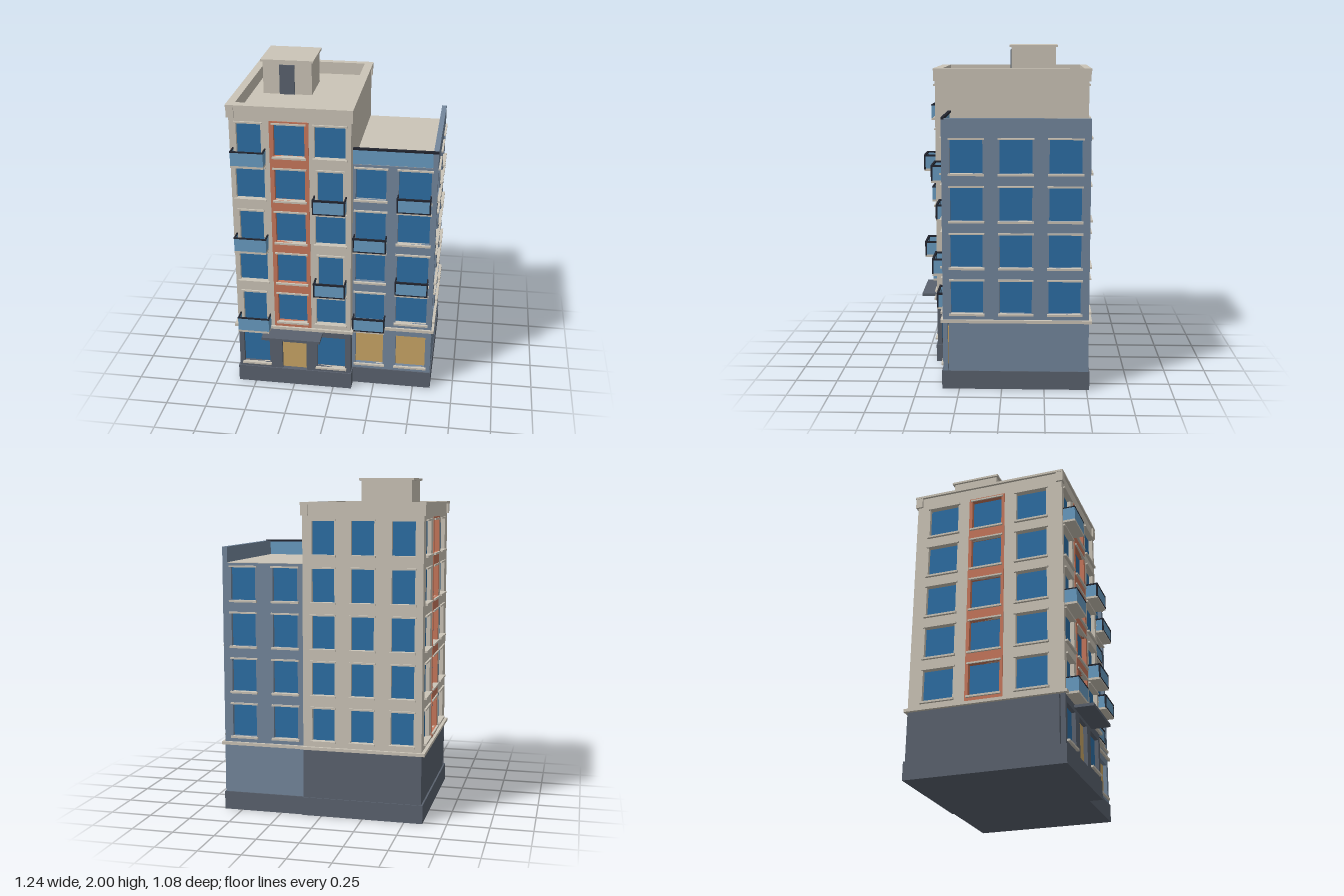
import * as THREE from 'three';

const mat = (name, color) => {
  const m = new THREE.MeshStandardMaterial({ color });
  m.name = name;
  return m;
};

export function createModel() {
  const stone = mat('beige stone', 0xcbc4b7);
  const blue = mat('blue render', 0x73869c);
  const slate = mat('slate base', 0x5a626e);
  const glass = mat('window glass', 0x2d6ea4);
  const paleGlass = mat('pale balcony glass', 0x689bc1);
  const yellow = mat('lit yellow glass', 0xc9a565);
  const orange = mat('orange panel', 0xc7775b);
  const dark = mat('dark rail', 0x22252f);

  const model = new THREE.Group();
  model.name = 'apartmentBuilding';

  // Box given by its extents
  function box(parent, name, m, x0, x1, y0, y1, z0, z1) {
    const mesh = new THREE.Mesh(new THREE.BoxGeometry(x1 - x0, y1 - y0, z1 - z0), m);
    mesh.position.set((x0 + x1) / 2, (y0 + y1) / 2, (z0 + z1) / 2);
    mesh.name = name;
    parent.add(mesh);
    return mesh;
  }

  const rectPoints = (x0, x1, y0, y1) =>
    [[x0, y0], [x1, y0], [x1, y1], [x0, y1]].map(([x, y]) => new THREE.Vector2(x, y));

  // Flat plate with rectangular holes, front at z, thickness t behind it
  function pierced(parent, name, m, [x0, x1, y0, y1], holes, z, t) {
    const shape = new THREE.Shape(rectPoints(x0, x1, y0, y1));
    for (const h of holes) shape.holes.push(new THREE.Path(rectPoints(...h).reverse()));
    const mesh = new THREE.Mesh(new THREE.ExtrudeGeometry(shape, { depth: t, bevelEnabled: false }), m);
    mesh.position.z = z - t;
    mesh.name = name;
    parent.add(mesh);
    return mesh;
  }

  // Horizontal rectangular ring
  function ring(name, m, x0, x1, z0, z1, hole, y0, y1) {
    const mesh = pierced(model, name, m, [x0, x1, -z1, -z0], [[hole[0], hole[1], -hole[3], -hole[2]]], 0, y1 - y0);
    mesh.rotation.x = -Math.PI / 2;
    mesh.position.set(0, y0, 0);
  }

  // Group whose +z looks along the given heading
  function face(name, angle) {
    const g = new THREE.Group();
    g.name = name;
    g.rotation.y = angle;
    model.add(g);
    return g;
  }

  // Recessed pane with a sill and a lintel
  const DEPTH = 0.028;
  function openingParts(g, d, [x0, x1, y0, y1], pane = glass, trim = true) {
    box(g, 'windowPane', pane, x0 - 0.004, x1 + 0.004, y0 - 0.004, y1 + 0.004, d - DEPTH - 0.006, d - DEPTH + 0.004);
    if (!trim) return;
    box(g, 'sill', stone, x0 - 0.01, x1 + 0.01, y0 - 0.012, y0, d - 0.02, d + 0.016);
    box(g, 'lintel', stone, x0 - 0.01, x1 + 0.01, y1, y1 + 0.01, d - 0.02, d + 0.012);
  }

  const floorY = (f) => 0.46 + 0.275 * f;
  const win = (c, w, f, drop = 0) => [c - w / 2, c + w / 2, floorY(f) - drop, floorY(f) + 0.195];

  // Upper wall: columns of windows, optionally with a coloured strip round one column
  function facade(g, name, m, d, bounds, columns, floors, strip) {
    const holes = [];
    for (const col of columns) {
      const own = [];
      for (let f = 0; f < floors; f++) {
        const door = col.doors && col.doors.includes(f);
        const h = win(col.c, door ? col.w - 0.03 : col.w, f, door ? 0.035 : 0);
        own.push(h);
        openingParts(g, d, h);
      }
      if (col.strip) {
        const b = [col.c - 0.115, col.c + 0.115, 0.425, 1.775];
        holes.push(b);
        pierced(g, 'accentPanel', orange, b, own, d + 0.004, DEPTH + 0.004);
      } else holes.push(...own);
    }
    pierced(g, name, m, bounds, holes, d, DEPTH);
  }

  const front = face('frontSide', 0);
  const right = face('wingSide', Math.PI / 2);
  const back = face('backSide', Math.PI);
  const left = face('towerSide', -Math.PI / 2);

  // Plinth
  box(model, 'towerPlinth', slate, -0.61, 0.115, 0, 0.11, -0.527, 0.432);
  box(model, 'wingPlinth', slate, 0.1, 0.61, 0, 0.11, -0.517, 0.352);

  // Tower ground floor
  const towerGround = [[[-0.57, -0.405, 0.145, 0.36], glass], [[-0.325, -0.17, 0.11, 0.36], yellow], [[-0.1, 0.075, 0.145, 0.36], glass]];
  pierced(front, 'towerGroundFront', slate, [-0.6, 0.11, 0.1, 0.41], towerGround.map((o) => o[0]), 0.425, DEPTH);
  towerGround.forEach(([h, m]) => openingParts(front, 0.425, h, m, false));
  [towerGround[0], towerGround[2]].forEach(([h]) =>
    box(front, 'groundSill', stone, h[0] - 0.01, h[1] + 0.01, 0.133, 0.145, 0.405, 0.441));
  box(model, 'towerGroundBody', slate, -0.6, 0.11, 0.1, 0.41, -0.52, 0.39);
  box(model, 'entranceCanopy', slate, -0.43, -0.065, 0.38, 0.397, 0.42, 0.54);

  // Wing ground floor
  const wingGround = [[0.13, 0.305, 0.145, 0.365], [0.385, 0.57, 0.145, 0.365]];
  pierced(front, 'wingGroundFront', blue, [0.11, 0.605, 0.1, 0.41], wingGround, 0.345, DEPTH);
  wingGround.forEach((h) => {
    openingParts(front, 0.345, h, yellow, false);
    box(front, 'groundSill', stone, h[0] - 0.01, h[1] + 0.01, 0.133, 0.145, 0.325, 0.359);
  });
  box(model, 'wingGroundBody', blue, 0.1, 0.605, 0.1, 0.41, -0.51, 0.31);

  // String course above the ground floor
  box(model, 'towerCourse', stone, -0.62, 0.125, 0.405, 0.423, -0.537, 0.44);
  box(model, 'wingCourse', stone, 0.1, 0.62, 0.405, 0.423, -0.527, 0.358);

  // Tower upper walls
  facade(front, 'towerFrontWall', stone, 0.425, [-0.6, 0.11, 0.41, 1.78],
    [{ c: -0.4875, w: 0.175, doors: [0, 2, 4] }, { c: -0.25, w: 0.18, strip: true }, { c: -0.0125, w: 0.18, doors: [1, 3] }], 5);
  facade(left, 'towerLeftWall', stone, 0.6, [-0.52, 0.425, 0.41, 1.78],
    [{ c: -0.34, w: 0.19 }, { c: -0.055, w: 0.19, strip: true }, { c: 0.23, w: 0.19 }], 5);
  facade(back, 'towerBackWall', stone, 0.52, [-0.11, 0.6, 0.41, 1.78],
    [0.485, 0.247, 0.013].map((c) => ({ c, w: 0.135 })), 5);
  box(model, 'towerRightWall', stone, 0.08, 0.11, 0.41, 1.78, -0.52, 0.425);

  // Wing upper walls
  facade(front, 'wingFrontWall', blue, 0.345, [0.11, 0.605, 0.41, 1.505],
    [{ c: 0.217, w: 0.18 }, { c: 0.475, w: 0.19 }], 4);
  facade(right, 'wingRightWall', blue, 0.605, [-0.345, 0.51, 0.41, 1.505],
    [-0.203, 0.082, 0.367].map((c) => ({ c, w: 0.187 })), 4);
  facade(back, 'wingBackWall', blue, 0.51, [-0.605, -0.11, 0.41, 1.505],
    [-0.478, -0.22].map((c) => ({ c, w: 0.15 })), 4);

  // Wing roof, side parapet and glass guard
  box(model, 'wingRoof', stone, 0.11, 0.58, 1.49, 1.508, -0.508, 0.34);
  box(model, 'wingParapet', blue, 0.575, 0.605, 1.5, 1.6, -0.51, 0.345);
  box(model, 'roofGuardGlass', paleGlass, 0.11, 0.576, 1.508, 1.595, 0.335, 0.345);
  box(model, 'roofGuardRail', dark, 0.11, 0.607, 1.594, 1.606, 0.328, 0.346);

  // Tower roof, parapet, coping and corner blocks
  box(model, 'towerRoof', stone, -0.59, 0.1, 1.765, 1.785, -0.51, 0.415);
  ring('towerParapet', stone, -0.6, 0.11, -0.52, 0.425, [-0.567, 0.07, -0.49, 0.38], 1.78, 1.85);
  ring('towerCoping', stone, -0.615, 0.122, -0.535, 0.437, [-0.567, 0.07, -0.49, 0.38], 1.848, 1.862);
  for (const x of [-0.59, 0.098]) for (const z of [-0.51, 0.413])
    box(model, 'cornerBlock', stone, x - 0.022, x + 0.022, 1.785, 1.85, z - 0.022, z + 0.022);

  // Stair hut on the roof
  box(model, 'stairHut', stone, -0.495, -0.195, 1.78, 1.99, -0.32, -0.037);
  box(model, 'stairHutCap', stone, -0.507, -0.183, 1.987, 2, -0.333, -0.025);
  box(model, 'stairHutDoor', slate, -0.393, -0.3, 1.785, 1.968, -0.037, -0.03);

  // Balcony: slab, glass on three sides, dark rails
  function balcony(x0, x1, y, z0, z1, heavy) {
    const g = new THREE.Group();
    g.name = 'balcony';
    model.add(g);
    const r = heavy ? 0.009 : 0.005;
    const top = y + 0.09;
    box(g, 'balconySlab', stone, x0, x1, y - 0.01, y + 0.004, z0, z1);
    box(g, 'frontGlass', paleGlass, x0, x1, y + 0.004, top, z1 - 0.006, z1);
    box(g, 'frontRail', dark, x0 - 0.003, x1 + 0.003, top - r, top + 0.002, z1 - 0.009, z1 + 0.002);
    if (heavy) box(g, 'frontBottomRail', dark, x0, x1, y, y + 0.007, z1 - 0.008, z1 + 0.002);
    for (const [a, b] of [[x0, x0 + 0.006], [x1 - 0.006, x1]]) {
      box(g, 'sideGlass', paleGlass, a, b, y + 0.004, top, z0, z1 - 0.006);
      box(g, 'sideRail', dark, a - 0.001, b + 0.001, top - r, top + 0.002, z0, z1);
      if (heavy) box(g, 'cornerPost', dark, a - 0.001, b + 0.001, y, top, z1 - 0.008, z1 + 0.002);
    }
  }
  const balconyY = (f) => 0.412 + 0.275 * f;
  for (const f of [0, 2, 4]) balcony(-0.583, -0.39, balconyY(f), 0.42, 0.498, false);
  for (const f of [1, 3]) {
    balcony(-0.108, 0.084, balconyY(f), 0.42, 0.498, true);
    balcony(0.376, 0.574, balconyY(f), 0.34, 0.406, true);
  }
  for (const f of [0, 2]) balcony(0.118, 0.316, balconyY(f), 0.34, 0.406, true);

  return model;
}
